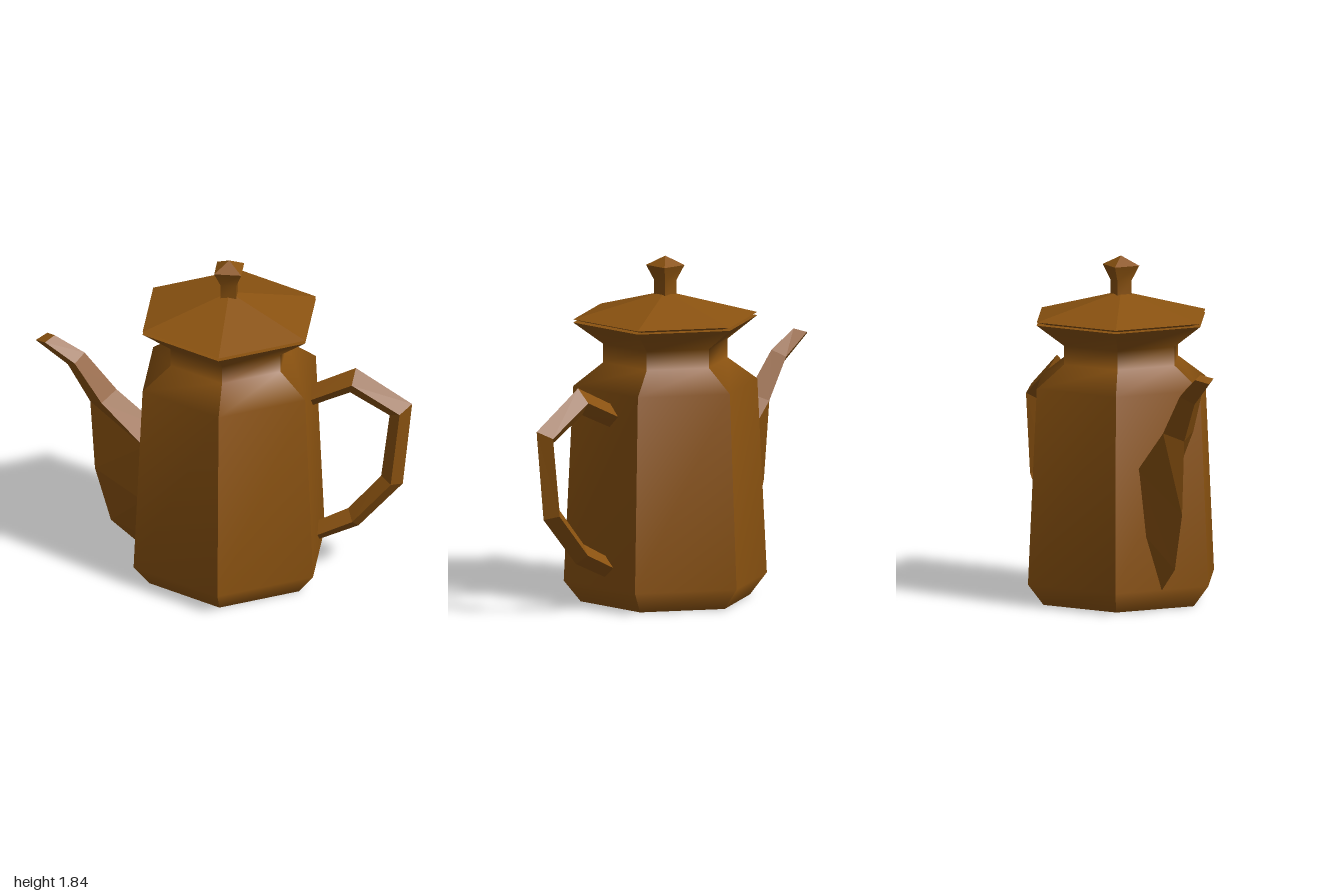
import * as THREE from 'three';
import { mergeGeometries } from 'three/addons/utils/BufferGeometryUtils.js';

const BODY_X = 0.03;

function geometryFrom(positions, index) {
  const g = new THREE.BufferGeometry();
  g.setAttribute('position', new THREE.Float32BufferAttribute(positions, 3));
  g.setIndex(index);
  return g;
}

// Profile [radius, y] swept round n sides: soft along the profile, crisp at the corners.
function facetedTurn(profile, n, startAngle = 0) {
  const panels = [];
  for (let k = 0; k < n; k++) {
    const positions = [], index = [];
    for (const [r, y] of profile) {
      for (const step of [0, 1]) {
        const a = startAngle + ((k + step) / n) * Math.PI * 2;
        positions.push(r * Math.sin(a), y, r * Math.cos(a));
      }
    }
    for (let i = 0; i < profile.length - 1; i++) {
      const b = i * 2;
      if (profile[i][0] > 0) index.push(b, b + 1, b + 3);
      if (profile[i + 1][0] > 0 || profile[i][0] === 0) index.push(b, b + 3, b + 2);
    }
    const g = geometryFrom(positions, index);
    g.computeVertexNormals();
    panels.push(g);
  }
  return mergeGeometries(panels);
}

// Diamond section lofted through rows of [outerX, outerY, innerX, innerY, midX, midY, halfWidth].
function diamondLoft(rows) {
  const positions = [], index = [];
  for (const [ox, oy, ix, iy, mx, my, w] of rows) {
    positions.push(ox, oy, 0, mx, my, w, ix, iy, 0, mx, my, -w);
  }
  for (let i = 0; i < rows.length - 1; i++) {
    for (let j = 0; j < 4; j++) {
      const a = i * 4 + j, b = i * 4 + ((j + 1) % 4);
      index.push(b, b + 4, a + 4, b, a + 4, a);
    }
  }
  const e = (rows.length - 1) * 4;
  index.push(0, 3, 2, 0, 2, 1, e, e + 1, e + 2, e, e + 2, e + 3);
  const g = geometryFrom(positions, index).toNonIndexed();
  g.computeVertexNormals();
  return g;
}

export function createModel() {
  const group = new THREE.Group();
  const brown = new THREE.MeshStandardMaterial({ color: 0x8a5210 });
  brown.name = 'brownGlaze';

  const add = (name, geometry, x = 0, z = 0) => {
    const mesh = new THREE.Mesh(geometry, brown);
    mesh.name = name;
    mesh.position.set(x, 0, z);
    group.add(mesh);
  };

  // Hexagonal pot with a flared neck
  add('body', facetedTurn([
    [0.46, 0], [0.552, 0.115], [0.5, 1.16], [0.338, 1.28], [0.338, 1.38], [0.5, 1.5],
  ], 6), BODY_X);
  add('base', facetedTurn([[0, 0], [0.46, 0]], 6), BODY_X);
  add('rim', facetedTurn([[0.5, 1.5], [0, 1.5]], 6), BODY_X);

  // Lid with a thin shadow gap under its edge
  add('lidUnderside', facetedTurn([[0.44, 1.5], [0.5, 1.517]], 6), BODY_X);
  add('lid', facetedTurn([[0.5, 1.517], [0, 1.65]], 6), BODY_X);

  // Square knob
  const d = Math.SQRT2;
  add('knobStem', facetedTurn([[0.042 * d, 1.61], [0.042 * d, 1.71], [0.072 * d, 1.79]], 4, Math.PI / 4), BODY_X);
  add('knobTop', facetedTurn([[0.072 * d, 1.79], [0, 1.84]], 4, Math.PI / 4), BODY_X);

  // Spout, from the tip down into the body
  add('spout', diamondLoft([
    [-0.90, 1.335, -1.0, 1.30, -0.945, 1.318, 0.055],
    [-0.74, 1.24, -0.83, 1.165, -0.785, 1.205, 0.065],
    [-0.57, 1.03, -0.71, 0.95, -0.64, 0.99, 0.09],
    [-0.34, 0.82, -0.685, 0.55, -0.41, 0.76, 0.125],
    [-0.25, 0.55, -0.60, 0.245, -0.42, 0.42, 0.095],
    [-0.25, 0.25, -0.45, 0.115, -0.40, 0.18, 0.05],
  ]));

  // Handle, from the upper joint round to the lower joint
  const handle = [
    [0.42, 1.08, 0.42, 0.955], [0.70, 1.213, 0.67, 1.065], [1.0, 1.015, 0.88, 0.94],
    [0.95, 0.535, 0.835, 0.575], [0.715, 0.27, 0.66, 0.37], [0.45, 0.15, 0.45, 0.262],
  ];
  add('handle', diamondLoft(handle.map(([ox, oy, ix, iy]) =>
    [ox, oy, ix, iy, (ox + ix) / 2, (oy + iy) / 2, 0.0625])), 0, -0.04);

  return group;
}
